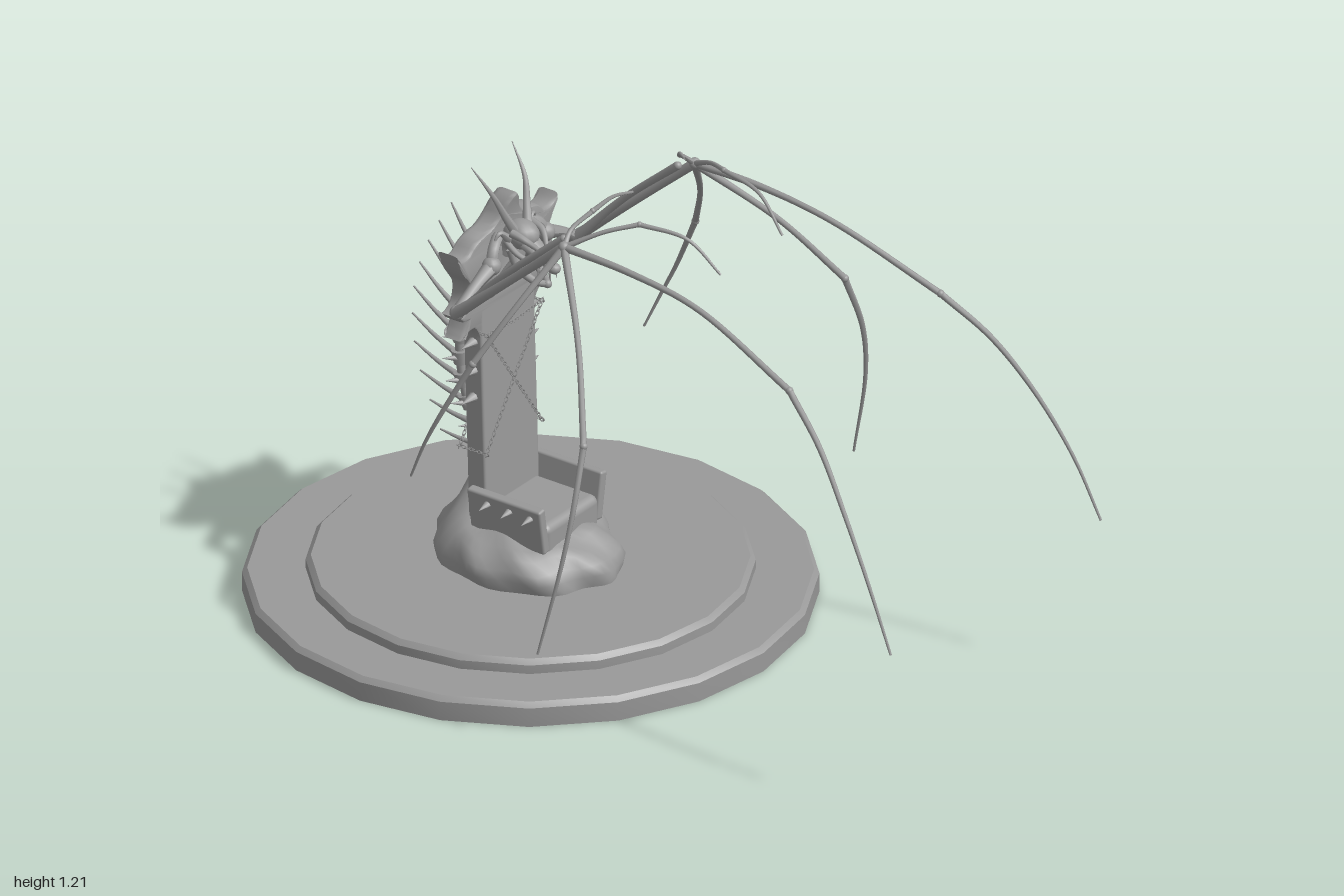
import * as THREE from 'three';
import { mergeVertices, mergeGeometries, toCreasedNormals } from 'three/addons/utils/BufferGeometryUtils.js';
import { RoundedBoxGeometry } from 'three/addons/geometries/RoundedBoxGeometry.js';

const stone = new THREE.MeshStandardMaterial({ color: 0x999999, side: THREE.DoubleSide });
const V = (x, y, z) => new THREE.Vector3(x, y, z);

function add(parent, name, geo, x = 0, y = 0, z = 0) {
  const mesh = new THREE.Mesh(geo, stone);
  mesh.name = name;
  mesh.position.set(x, y, z);
  parent.add(mesh);
  return mesh;
}

// Tube through points whose radius runs from r0 to r1; waist thins the middle
function taper(points, r0, r1, waist = 0, seg = 16, sides = 8) {
  const path = new THREE.CatmullRomCurve3(points.map(p => V(...p)));
  const geo = new THREE.TubeGeometry(path, seg, 1, sides);
  const pos = geo.attributes.position, v = V();
  for (let i = 0; i <= seg; i++) {
    const t = i / seg, c = path.getPointAt(t);
    const r = (r0 + (r1 - r0) * t) * (1 - waist * Math.sin(Math.PI * t));
    for (let j = 0; j <= sides; j++) {
      const k = i * (sides + 1) + j;
      v.fromBufferAttribute(pos, k).sub(c).multiplyScalar(r).add(c);
      pos.setXYZ(k, v.x, v.y, v.z);
    }
  }
  geo.computeVertexNormals();
  return geo;
}
const spike = (a, b, r) => taper([a, b], r, 0.0006, 0, 3);
const ball = (r, sx = 1, sy = 1, sz = 1) => new THREE.SphereGeometry(r, 14, 10).scale(sx, sy, sz);

function disc(parent, name, r, y0, y1) {
  const c = 0.012;
  const pts = [[0, y0], [r, y0], [r, y1 - c], [r - c, y1], [0, y1]].map(p => new THREE.Vector2(...p));
  add(parent, name, toCreasedNormals(new THREE.LatheGeometry(pts, 20), 0.6), 0, 0, -0.333);
}

// Lumpy mound, steeper at the sides, rising to a peak behind the backrest
function rock() {
  const pts = [[1, 0], [1.01, 0.03], [0.95, 0.052], [0.84, 0.076], [0.7, 0.092], [0.55, 0.104]];
  for (let i = 1; i <= 14; i++) pts.push([0.55 * (1 - i / 14), 0.104 + 0.01 * i / 14]);
  let geo = new THREE.LatheGeometry(pts.map(p => new THREE.Vector2(...p)), 48);
  const p = geo.attributes.position;
  for (let i = 0; i < p.count; i++) {
    const u = p.getX(i), w = p.getZ(i), h = p.getY(i), a = Math.atan2(u, w);
    const k = 1 + 0.03 * Math.sin(5 * a + 9 * h) + 0.03 * Math.sin(9 * a + 2 + 30 * h);
    const x = u * 0.193 * k * (1 + 1.4 * h) * (1 - (w < 0 ? 0.35 : 0.15) * w * w);
    const z = w * 0.238 * k - 0.345;
    const peak = 0.15 * Math.exp(-(((z + 0.455) / 0.05) ** 2) - (x / 0.085) ** 2);
    const y = h + Math.min(h * 10, 1) * (peak + 0.01 * Math.sin(45 * x + 3) * Math.sin(42 * z));
    p.setXYZ(i, x, y + 0.093, z);
  }
  geo.deleteAttribute('normal');
  geo.deleteAttribute('uv');
  geo = mergeVertices(geo, 1e-5);
  geo.computeVertexNormals();
  return geo;
}

// Slab with curved spikes at the top of the backrest
function crest() {
  // Each row is a curve: control point, then end point
  const curves = [[0.108, 0.7, 0.128, 0.718], [0.15, 0.722, 0.176, 0.704], [0.16, 0.722, 0.15, 0.748],
    [0.17, 0.745, 0.187, 0.77], [0.16, 0.772, 0.148, 0.795], [0.135, 0.83, 0.155, 0.855],
    [0.185, 0.88, 0.198, 0.938], [0.175, 0.905, 0.145, 0.918], [0.12, 0.95, 0.07, 0.952], [0.04, 0.965, 0.03, 0.995], [0.02, 1.02, 0, 1.032]];
  const shape = new THREE.Shape();
  shape.moveTo(0.105, 0.67);
  for (const c of curves) shape.quadraticCurveTo(...c);
  for (let i = curves.length - 1; i >= 0; i--) {
    const [x, y] = i ? curves[i - 1].slice(2) : [0.105, 0.67];
    shape.quadraticCurveTo(-curves[i][0], curves[i][1], -x, y);
  }
  const geo = new THREE.ExtrudeGeometry(shape, {
    depth: 0.03, bevelThickness: 0.014, bevelSize: 0.008, bevelOffset: -0.008, bevelSegments: 3, curveSegments: 5 });
  geo.translate(0, 0, -0.443);
  const p = geo.attributes.position;
  for (let i = 0; i < p.count; i++) p.setZ(i, p.getZ(i) + 0.03 * Math.max(0, (p.getY(i) - 0.9) / 0.13) ** 2);
  return toCreasedNormals(geo, 0.6);
}

// Chain of alternating links along straight runs
function chain(runs) {
  const links = [];
  for (const [a, b] of runs) {
    const A = V(...a), B = V(...b), n = Math.max(2, Math.round(A.distanceTo(B) / 0.0105));
    const q = new THREE.Quaternion().setFromUnitVectors(V(1, 0, 0), B.clone().sub(A).normalize());
    for (let i = 0; i <= n; i++) {
      const g = new THREE.TorusGeometry(0.0042, 0.0013, 4, 8).scale(1.6, 1, 1);
      g.rotateX(i % 2 ? Math.PI / 2 : 0).applyQuaternion(q);
      links.push(g.translate(...A.clone().lerp(B, i / n).toArray()));
    }
  }
  return mergeGeometries(links);
}

function throne(root) {
  const g = new THREE.Group();
  g.name = 'throne';
  root.add(g);
  add(g, 'backrest', new RoundedBoxGeometry(0.21, 0.7, 0.052, 2, 0.006), 0, 0.52, -0.418).rotation.x = -0.03;
  add(g, 'crest', crest());
  add(g, 'seat', new RoundedBoxGeometry(0.21, 0.1, 0.19, 4, 0.02), 0, 0.197, -0.305);
  for (const s of [1, -1]) {
    add(g, 'armrest', new RoundedBoxGeometry(0.024, 0.12, 0.21, 2, 0.006), s * 0.112, 0.24, -0.315).rotation.z = -s * 0.16;
    for (const z of [-0.24, -0.3, -0.362]) add(g, 'armStud', spike([s * 0.115, 0.273, z], [s * 0.162, 0.27, z], 0.013));
    for (const y of [0.67, 0.595, 0.525]) add(g, 'sideSpike', spike([s * 0.1, y, -0.42], [s * 0.15, y, -0.42], 0.014));
  }
  const x = 0.108, f = -0.38, b = -0.457, runs = [[[-x, 0.7, b], [x, 0.7, b]]];
  runs.push([[-x, 0.7, f], [0, 0.694, f]], [[0, 0.694, f], [x, 0.7, f]]);
  for (const s of [1, -1]) {
    for (const z of [f, b]) runs.push([[-s * x, 0.7, z], [s * x, 0.388, z]]);
    for (const y of [0.7, 0.388]) runs.push([[s * x, y, f], [s * x, y, b]]);
  }
  add(g, 'chains', chain(runs));
}

function spine(root) {
  const g = new THREE.Group();
  g.name = 'spine';
  root.add(g);
  const pts = [[0, 0.87, -0.45], [0, 0.82, -0.475], [0, 0.71, -0.515], [0, 0.6, -0.535], [0, 0.47, -0.52], [0, 0.36, -0.475], [0, 0.3, -0.45]];
  const path = new THREE.CatmullRomCurve3(pts.map(p => V(...p)));
  add(g, 'spinalCord', taper(pts, 0.012, 0.012, 0, 30));
  const n = 10;
  for (let i = 0; i < n; i++) {
    const t = (i + 0.9) / (n + 0.6), { y, z } = path.getPointAt(t), d = path.getTangentAt(t);
    const v = add(g, 'vertebra', new THREE.CylinderGeometry(0.022, 0.017, 0.034, 10), 0, y, z);
    v.quaternion.setFromUnitVectors(V(0, -1, 0), d);
    const a = 1.08 * (1 - t) ** 0.9 - 0.05, len = 0.145 + 0.025 * Math.sin(Math.PI * t) - 0.025 * t;
    const tip = (k, up = 0) => [0, y + Math.sin(a + up) * len * k, z - Math.cos(a + up) * len * k];
    add(g, 'dorsalSpike', taper([[0, y, z], tip(0.5, -0.06), tip(1)], 0.0085, 0.002, 0, 8));
    for (const s of [1, -1]) add(g, 'sideProcess', spike([s * 0.01, y, z], [s * 0.046, y + 0.008, z - 0.018], 0.009));
  }
}

function skull(root) {
  const g = new THREE.Group();
  g.name = 'skull';
  root.add(g);
  add(g, 'neck', taper([[0, 0.87, -0.42], [0, 0.9, -0.4], [0, 0.92, -0.36]], 0.028, 0.022));
  add(g, 'cranium', ball(0.04, 0.95, 0.9, 1.15), 0, 0.927, -0.36);
  const snout = add(g, 'snout', new THREE.CylinderGeometry(0.014, 0.033, 0.1, 10).scale(1, 1, 0.65), 0, 0.892, -0.305);
  snout.rotation.x = 2.15;
  add(g, 'nose', ball(0.015, 1, 0.9, 1.1), 0, 0.866, -0.266);
  add(g, 'noseHorn', spike([0, 0.872, -0.275], [0, 0.9, -0.258], 0.007));
  add(g, 'chin', ball(0.011), 0, 0.82, -0.285);
  for (const s of [1, -1]) {
    add(g, 'jaw', taper([[s * 0.034, 0.9, -0.365], [s * 0.03, 0.855, -0.345], [s * 0.016, 0.825, -0.305], [0, 0.82, -0.282]], 0.012, 0.008));
    add(g, 'brow', taper([[s * 0.038, 0.945, -0.36], [s * 0.034, 0.935, -0.325], [s * 0.012, 0.905, -0.295]], 0.011, 0.005));
    add(g, 'cheekbone', taper([[s * 0.04, 0.92, -0.375], [s * 0.04, 0.895, -0.34], [s * 0.018, 0.87, -0.29]], 0.008, 0.005));
    add(g, 'longHorn', taper([[s * 0.025, 0.945, -0.36], [s * 0.042, 0.985, -0.375], [s * 0.062, 1.04, -0.395], [s * 0.08, 1.108, -0.445]], 0.012, 0.001));
    add(g, 'cheekHorn', taper([[s * 0.035, 0.925, -0.37], [s * 0.065, 0.95, -0.375], [s * 0.085, 0.925, -0.38]], 0.011, 0.001));
    add(g, 'jawHorn', spike([s * 0.03, 0.87, -0.36], [s * 0.05, 0.835, -0.385], 0.008));
    for (let i = 0; i < 4; i++) {
      const z = -0.27 - 0.015 * i, x = s * (0.012 + 0.004 * i), y = 0.858 + 0.006 * i;
      add(g, 'upperTooth', spike([x, y, z], [x, y - 0.022, z + 0.003], 0.0035));
    }
  }
}

// Skeletal wing on side s
function wing(root, s) {
  const g = new THREE.Group();
  g.name = s > 0 ? 'leftWing' : 'rightWing';
  root.add(g);
  const m = pts => pts.map(([x, y, z]) => [s * x, y, z]);
  const W = [0.255, 1.1, -0.05];
  const knob = (p, r) => add(g, 'joint', ball(r), s * p[0], p[1], p[2]);

  // Shoulder and arm
  add(g, 'shoulderBlade', taper(m([[0.05, 0.935, -0.39], [0.09, 0.915, -0.375], [0.105, 0.87, -0.37], [0.112, 0.825, -0.372]]), 0.014, 0.018, 0.1));
  knob([0.112, 0.822, -0.372], 0.018);
  knob([0.105, 0.885, -0.368], 0.023);
  add(g, 'upperArm', taper(m([[0.105, 0.885, -0.368], [0.165, 0.858, -0.37], [0.23, 0.815, -0.375]]), 0.021, 0.016, 0.25));
  knob([0.23, 0.815, -0.375], 0.018);
  add(g, 'forearmOuter', taper(m([[0.235, 0.815, -0.375], [0.238, 0.95, -0.22], W]), 0.015, 0.012, 0.25));
  add(g, 'forearmInner', taper(m([[0.218, 0.82, -0.365], [0.23, 0.96, -0.235], [0.222, 1.1, -0.075]]), 0.013, 0.01, 0.25));
  knob(W, 0.014);
  knob([0.222, 1.1, -0.075], 0.01);

  // Fingers: knuckle number, then points from the wrist to the tip
  const fingers = [
    [3, [0.26, 1.095, 0.14], [0.265, 1.065, 0.34], [0.295, 0.955, 0.625], [0.335, 0.86, 0.74], [0.372, 0.73, 0.84], [0.398, 0.58, 0.93], [0.41, 0.43, 1.0]],
    [2, [0.39, 0.94, 0.09], [0.51, 0.765, 0.193], [0.565, 0.62, 0.203], [0.595, 0.48, 0.19], [0.617, 0.25, 0.14]],
    [2, [0.365, 0.96, -0.115], [0.435, 0.83, -0.18], [0.463, 0.68, -0.255], [0.465, 0.6, -0.295], [0.455, 0.495, -0.342]],
    [2, [0.21, 1.145, 0.03], [0.165, 1.168, 0.1], [0.14, 1.155, 0.22], [0.12, 1.08, 0.3]],
    [2, [0.22, 1.13, -0.055], [0.17, 1.165, -0.03], [0.13, 1.195, 0.0], [0.1, 1.205, 0.035]],
  ];
  for (const [k, ...pts] of fingers) {
    const size = pts.length > 4 ? 1 : 0.75;
    add(g, 'fingerBase', taper(m([W, ...pts.slice(0, k)]), 0.01 * size, 0.008 * size, 0.2, 24));
    knob(pts[k - 1], 0.0095 * size);
    add(g, 'fingerTip', taper(m(pts.slice(k - 1)), 0.008 * size, 0.003, 0, 28));
  }
}

export function createModel() {
  const root = new THREE.Group();
  root.name = 'skeletonThrone';
  disc(root, 'lowerPlinth', 0.667, 0, 0.06);
  disc(root, 'upperPlinth', 0.52, 0.06, 0.094);
  add(root, 'rock', rock());
  throne(root);
  spine(root);
  skull(root);
  for (const s of [1, -1]) wing(root, s);
  return root;
}
